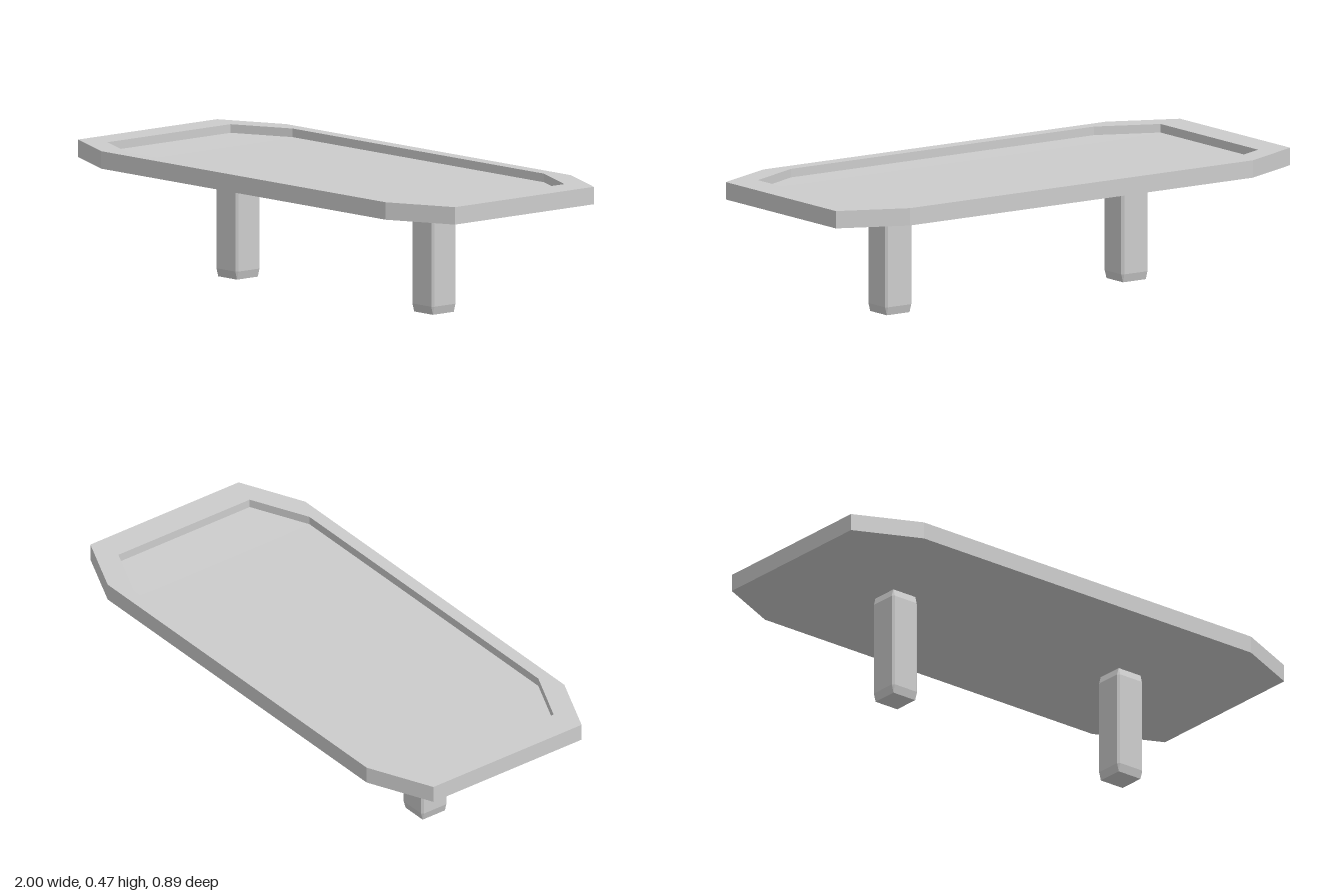
import * as THREE from 'three';

// Eight-cornered outline: half sizes hx, hz with corners cut back to cx, cz
function ring(hx, hz, cx, cz, y) {
  return [
    [hx, cz], [cx, hz], [-cx, hz], [-hx, cz],
    [-hx, -cz], [-cx, -hz], [cx, -hz], [hx, -cz],
  ].map(([x, z]) => new THREE.Vector3(x, y, z));
}

// Flat-faced skin through rings listed from the bottom, capped at both ends
function loft(rings) {
  const pos = [];
  const tri = (a, b, c) => {
    const area = b.clone().sub(a).cross(c.clone().sub(a)).length();
    if (area > 1e-8) for (const p of [a, b, c]) pos.push(p.x, p.y, p.z);
  };
  for (let r = 0; r < rings.length - 1; r++) {
    const lo = rings[r], hi = rings[r + 1];
    for (let i = 0; i < 8; i++) {
      const j = (i + 1) % 8;
      tri(lo[i], hi[i], hi[j]);
      tri(lo[i], hi[j], lo[j]);
    }
  }
  const first = rings[0], last = rings[rings.length - 1];
  for (let i = 1; i < 7; i++) {
    tri(first[0], first[i], first[i + 1]);
    tri(last[0], last[i + 1], last[i]);
  }
  const geo = new THREE.BufferGeometry();
  geo.setAttribute('position', new THREE.Float32BufferAttribute(pos, 3));
  geo.computeVertexNormals();
  return geo;
}

export function createModel() {
  const group = new THREE.Group();
  const grey = new THREE.MeshStandardMaterial({ color: 0xcccccc });
  grey.name = 'light grey';

  // Tabletop with a raised rim, a shallow sunken floor and a slightly bowed underside
  const top = new THREE.Mesh(loft([
    ring(0.76, 0.31, 0.76, 0.31, 0.405),
    ring(1, 0.444, 0.755, 0.333, 0.409),
    ring(1, 0.444, 0.755, 0.333, 0.472),
    ring(0.886, 0.395, 0.667, 0.295, 0.472),
    ring(0.886, 0.395, 0.667, 0.295, 0.441),
    ring(0.667, 0.29, 0.667, 0.29, 0.438),
  ]), grey);
  top.name = 'tabletop';
  group.add(top);

  // Two square legs with bevelled edges
  const legGeo = loft([
    ring(0.05, 0.05, 0.05, 0.05, 0),
    ring(0.058, 0.058, 0.05, 0.05, 0.03),
    ring(0.058, 0.058, 0.05, 0.05, 0.378),
    ring(0.05, 0.05, 0.05, 0.05, 0.408),
  ]);
  for (const [name, x] of [['leftLeg', 0.52], ['rightLeg', -0.52]]) {
    const leg = new THREE.Mesh(legGeo, grey);
    leg.name = name;
    leg.position.x = x;
    group.add(leg);
  }
  return group;
}
